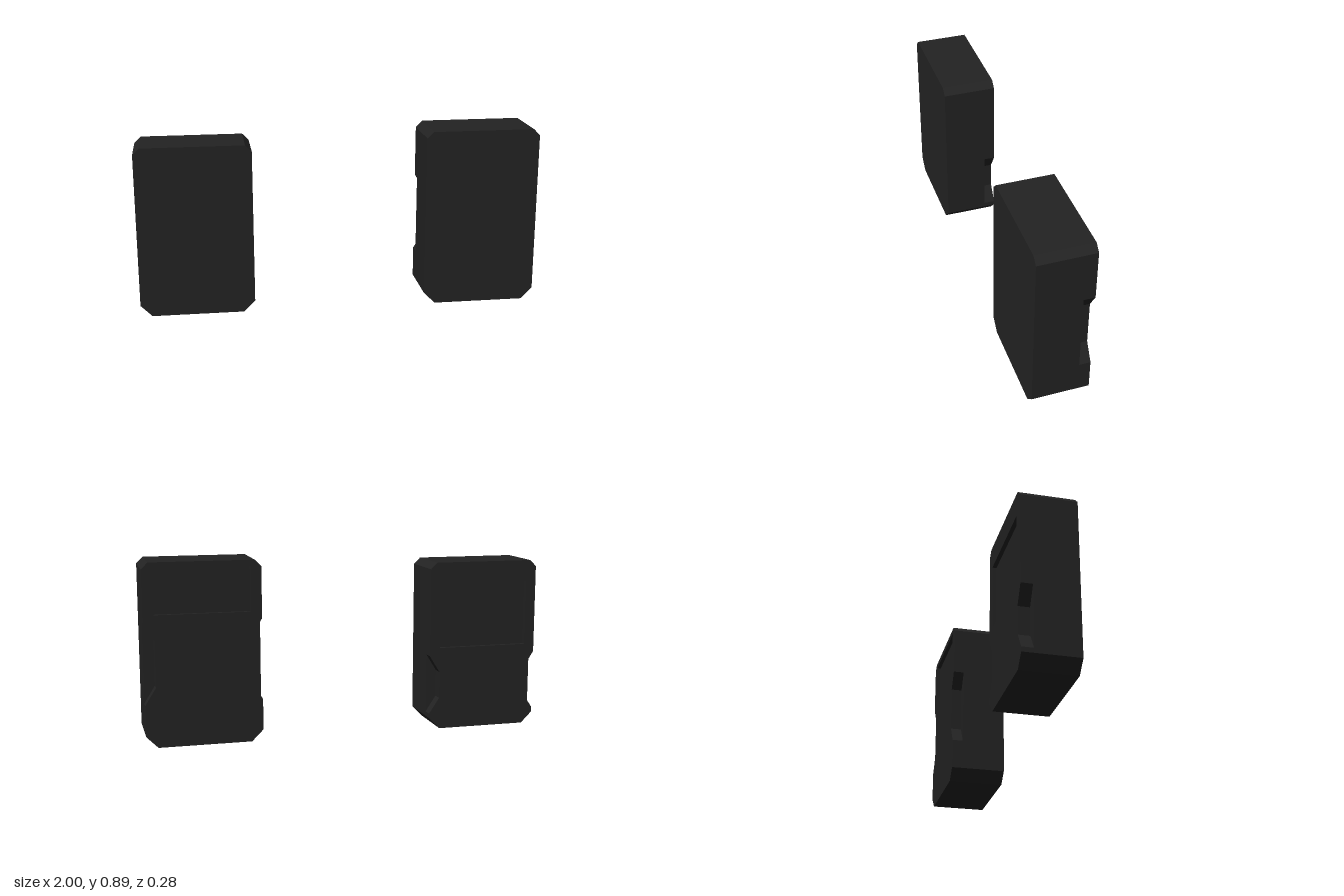
import * as THREE from 'three';

const black = new THREE.MeshStandardMaterial({ color: 0x232323 });
black.name = 'matte black';

const BACK = -0.14, STEP = -0.085, FLOOR = -0.12; // back face, notch step, panel floor
const TOP_CUT = 0.032, BOTTOM_CUT = 0.057, NOTCH_IN = 0.053;

// Chamfered upright outline; optional trapezoid notch in both sides
function outline(w, h, notch) {
  const x = w / 2;
  const right = [[x - BOTTOM_CUT, 0], [x, BOTTOM_CUT]];
  if (notch) {
    const [y0, y1, y2, y3] = notch;
    right.push([x, y0], [x - NOTCH_IN, y1], [x - NOTCH_IN, y2], [x, y3]);
  }
  right.push([x, h - TOP_CUT], [x - TOP_CUT, h]);
  const left = right.map(([px, py]) => [-px, py]).reverse();
  return new THREE.Shape([...right, ...left].map(p => new THREE.Vector2(...p)));
}

// Plate of the given outline between two depths
function plate(name, shape, z0, z1) {
  const geo = new THREE.ExtrudeGeometry(shape, { depth: z1 - z0, bevelEnabled: false });
  geo.translate(0, 0, z0);
  const mesh = new THREE.Mesh(geo, black);
  mesh.name = name;
  return mesh;
}

function device({ name, x, w, h, front, notch, panel }) {
  const group = new THREE.Group();
  group.name = name;
  group.position.x = x;

  // Solid front body
  group.add(plate('frontBody', outline(w, h), STEP, front));
  // Back body with finger grips; its rear face is the floor of the panel
  group.add(plate('gripBody', outline(w, h, notch), FLOOR, STEP));
  // Rear frame around the recessed panel
  const frame = outline(w, h, notch);
  const [y0, y1] = panel, px = w / 2 - 0.053;
  frame.holes.push(new THREE.Path([[-px, y0], [-px, y1], [px, y1], [px, y0]]
    .map(p => new THREE.Vector2(...p))));
  group.add(plate('rearFrame', frame, BACK, FLOOR));
  return group;
}

export function createModel() {
  const model = new THREE.Group();
  model.name = 'pairOfCases';
  model.add(device({
    name: 'tallCase', x: 0.714, w: 0.57, h: 0.895, front: 0.14,
    notch: [0.21, 0.295, 0.525, 0.61], panel: [0.645, 0.865],
  }));
  model.add(device({
    name: 'shortCase', x: -0.716, w: 0.568, h: 0.855, front: 0.126,
    notch: [0.08, 0.16, 0.295, 0.38], panel: [0.42, 0.745],
  }));
  return model;
}
